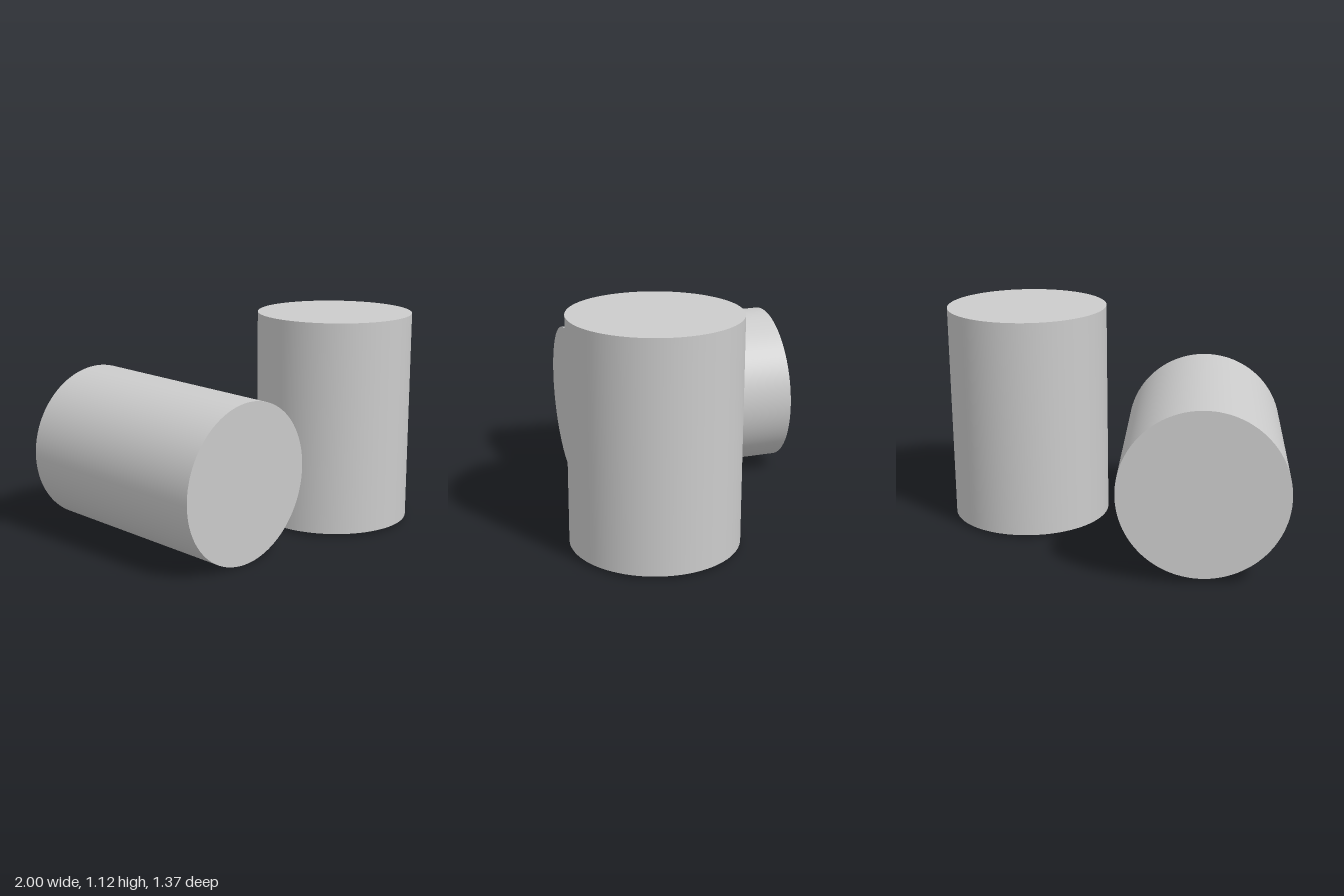
import * as THREE from 'three';

const RADIUS = 0.407;

// Solid cylinder running between two end centres
function cylinderBetween(name, start, end, material) {
  const axis = end.clone().sub(start);
  const geometry = new THREE.CylinderGeometry(RADIUS, RADIUS, axis.length(), 96);
  const mesh = new THREE.Mesh(geometry, material);
  mesh.name = name;
  mesh.position.copy(start).add(end).multiplyScalar(0.5);
  mesh.quaternion.setFromUnitVectors(new THREE.Vector3(0, 1, 0), axis.normalize());
  return mesh;
}

export function createModel() {
  const group = new THREE.Group();
  group.name = 'cylinderPair';
  const material = new THREE.MeshStandardMaterial({ color: 0xcccccc });

  // Upright cylinder, hovering just above the ground
  group.add(cylinderBetween('uprightCylinder',
    new THREE.Vector3(0.593, 0.016, -0.202), new THREE.Vector3(0.593, 1.12, -0.202), material));

  // Cylinder on its side, its back end raised slightly
  group.add(cylinderBetween('lyingCylinder',
    new THREE.Vector3(-0.07, 0.408, 0.466), new THREE.Vector3(-0.655, 0.435, -0.47), material));

  return group;
}
